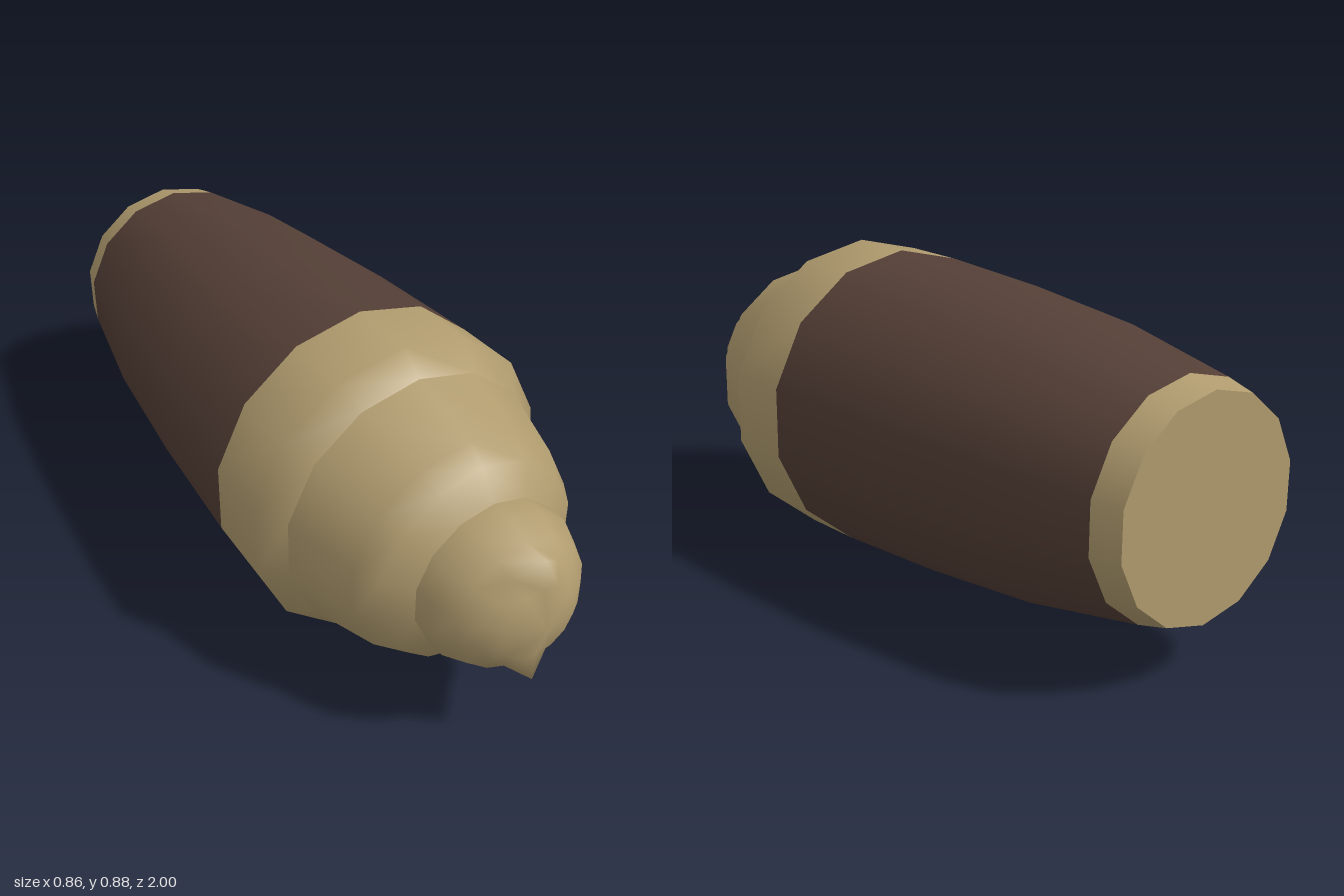
import * as THREE from 'three';
import { mergeVertices } from 'three/addons/utils/BufferGeometryUtils.js';

const SIDES = 14;
const CENTRE_Y = 0.441;

// Turned section along z from [radius, z] pairs, listed back to front
function turned(profile) {
  const points = profile.map(([r, z]) => new THREE.Vector2(r, z));
  return new THREE.LatheGeometry(points, SIDES).rotateX(Math.PI / 2);
}

export function createModel() {
  const tan = new THREE.MeshStandardMaterial({ color: 0xb09b6e });
  tan.name = 'tan casing';
  const brown = new THREE.MeshStandardMaterial({ color: 0x543f36 });
  brown.name = 'dark brown sleeve';

  const group = new THREE.Group();
  const add = (name, geometry, material) => {
    const mesh = new THREE.Mesh(geometry, material);
    mesh.name = name;
    mesh.position.y = CENTRE_Y;
    group.add(mesh);
  };

  // Rear disc and tan rim
  add('rearCap', turned([[0, -1], [0.283, -1]]), tan);
  add('rearRim', turned([[0.283, -1], [0.304, -0.92]]), tan);

  // Tapered dark sleeve
  add('sleeve', turned([[0.304, -0.92], [0.37, -0.58], [0.41, -0.2], [0.435, 0.18]]), brown);

  // Widest collar, with its bevel
  add('collar', turned([[0.435, 0.18], [0.44, 0.38], [0.383, 0.45]]), tan);

  // Rounded shoulder
  add('shoulder', turned([[0.383, 0.45], [0.325, 0.66], [0.29, 0.72], [0.218, 0.77]]), tan);

  // Domed nose whose top and bottom points are pulled out into small spikes
  const nose = turned([[0.218, 0.77], [0.218, 0.83], [0.188, 0.895], [0.15, 0.935], [0.105, 0.968], [0, 1]]);
  const pos = nose.attributes.position;
  for (let i = 0; i < pos.count; i++) {
    const onSpikeRing = Math.abs(pos.getZ(i) - 0.935) < 0.005;
    if (onSpikeRing && Math.abs(pos.getX(i)) < 0.01) {
      pos.setXYZ(i, 0, Math.sign(pos.getY(i)) * 0.188, 0.967);
    }
  }
  nose.deleteAttribute('normal');
  nose.deleteAttribute('uv');
  const smoothNose = mergeVertices(nose, 1e-4);
  smoothNose.computeVertexNormals();
  add('nose', smoothNose, tan);

  return group;
}
